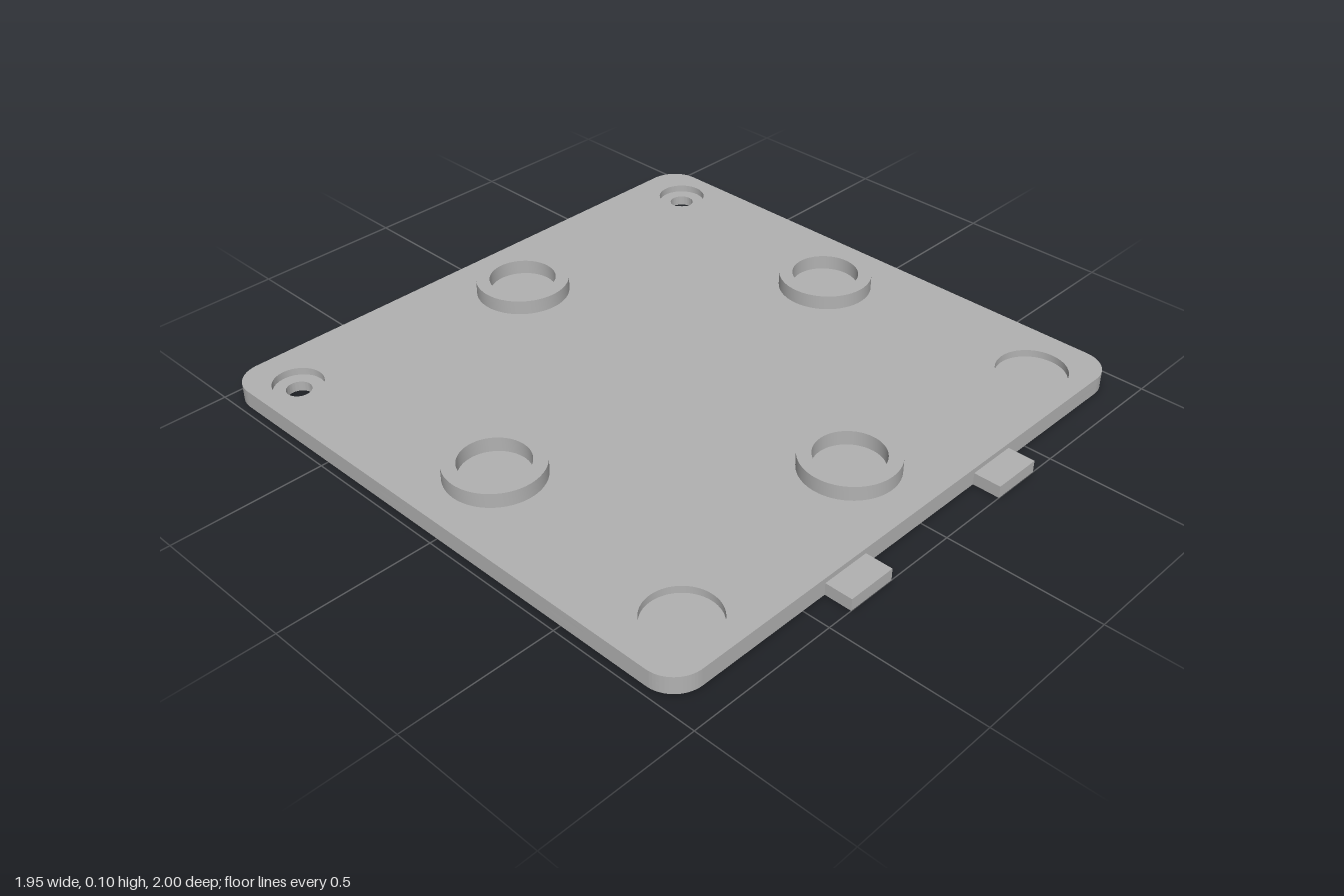
import * as THREE from 'three';
import { toCreasedNormals } from 'three/addons/utils/BufferGeometryUtils.js';

const HALF_W = 0.975, BACK = -1, FRONT = 0.91, CORNER = 0.1;
const FLOOR = 0.033, TOP = 0.057, RING_TOP = 0.105;
const SCREWS = [[-0.84, -0.83], [0.84, -0.83]];
const RECESSES = [[-0.775, 0.74], [0.775, 0.74]];
const RINGS = [[0, -0.747], [0, 0.65], [-0.72, -0.048], [0.72, -0.048]];

// Shapes are drawn as (x, -z), then laid flat
function circle(path, x, z, r) {
  path.absarc(x, -z, r, 0, Math.PI * 2, false);
  return path;
}

function plateOutline() {
  const s = new THREE.Shape();
  const x = HALF_W - CORNER, lo = -FRONT + CORNER, hi = -BACK - CORNER, q = Math.PI / 2;
  s.absarc(x, lo, CORNER, -q, 0);
  s.absarc(x, hi, CORNER, 0, q);
  s.absarc(-x, hi, CORNER, q, 2 * q);
  s.absarc(-x, lo, CORNER, 2 * q, 3 * q);
  s.closePath();
  return s;
}

function slab(shape, y0, y1) {
  const g = new THREE.ExtrudeGeometry(shape, { depth: y1 - y0, bevelEnabled: false, curveSegments: 32 });
  g.rotateX(-Math.PI / 2).translate(0, y0, 0);
  return toCreasedNormals(g, 0.6);
}

export function createModel() {
  const model = new THREE.Group();
  model.name = 'coverPlate';
  const grey = new THREE.MeshStandardMaterial({ color: 0xb2b2b2 });
  grey.name = 'grey';
  const add = (name, geometry) => {
    const mesh = new THREE.Mesh(geometry, grey);
    mesh.name = name;
    model.add(mesh);
    return mesh;
  };

  // Lower layer: only the screw holes go through
  const lower = plateOutline();
  SCREWS.forEach(([x, z]) => lower.holes.push(circle(new THREE.Path(), x, z, 0.04)));
  add('plateBottom', slab(lower, 0, FLOOR));

  // Upper layer: counterbores and round foot recesses
  const upper = plateOutline();
  SCREWS.forEach(([x, z]) => upper.holes.push(circle(new THREE.Path(), x, z, 0.08)));
  RECESSES.forEach(([x, z]) => upper.holes.push(circle(new THREE.Path(), x, z, 0.113)));
  add('plateTop', slab(upper, FLOOR, TOP));

  // Raised round sockets
  RINGS.forEach(([x, z]) => {
    const ring = circle(new THREE.Shape(), x, z, 0.153);
    ring.holes.push(circle(new THREE.Path(), x, z, 0.109));
    add('socketRing', slab(ring, TOP, RING_TOP));
  });

  // Locating tabs on the front edge
  for (const side of [-1, 1]) {
    const tab = add(side > 0 ? 'leftTab' : 'rightTab', new THREE.BoxGeometry(0.168, 0.04, 1 - FRONT));
    tab.position.set(side * 0.328, 0.02, (1 + FRONT) / 2);
  }

  return model;
}
